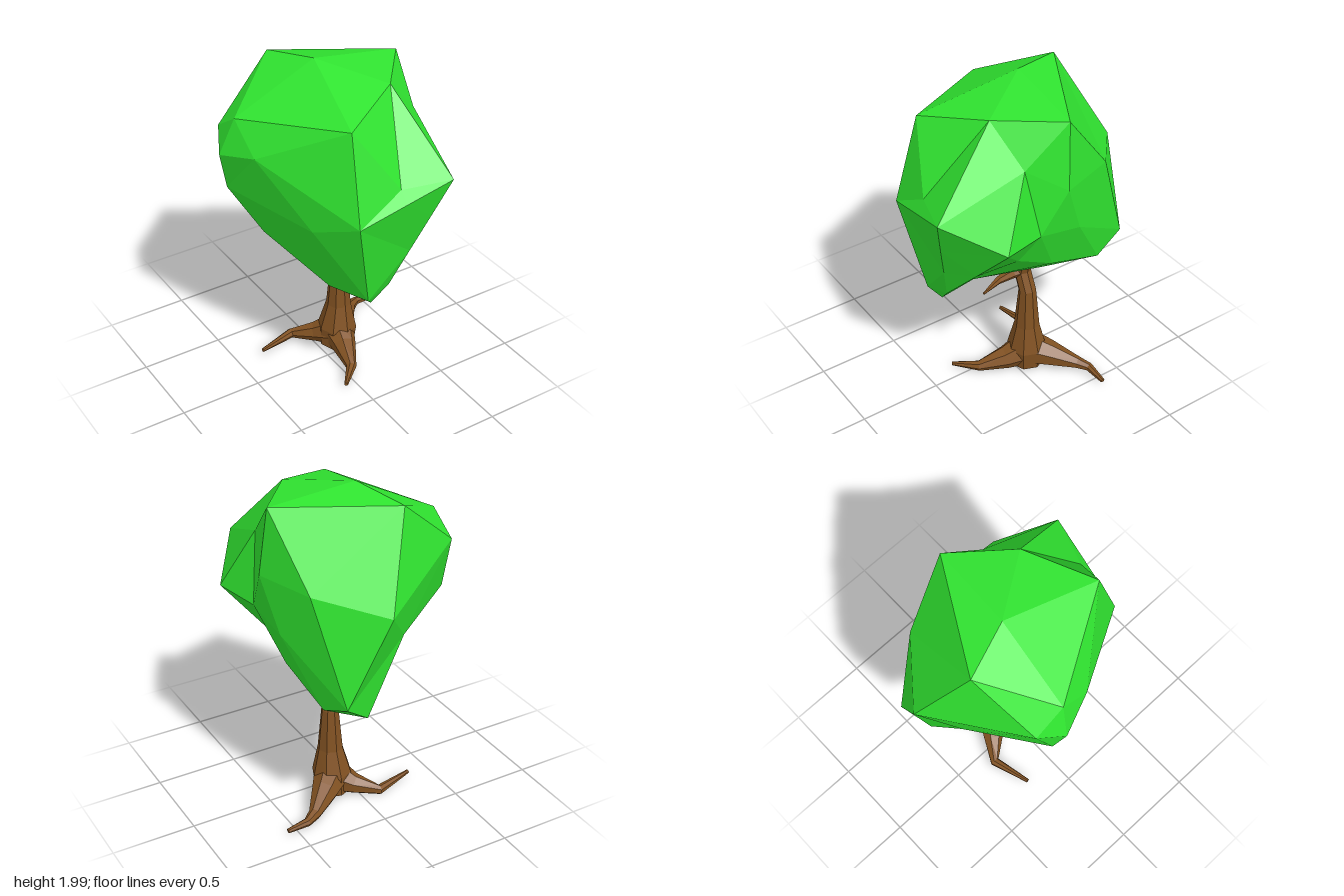
import * as THREE from 'three';
import { ConvexGeometry } from 'three/addons/geometries/ConvexGeometry.js';

const bark = new THREE.MeshStandardMaterial({ color: 0x825222, flatShading: true });
const leaf = new THREE.MeshStandardMaterial({ color: 0x30e430, flatShading: true });

// Faceted limb through sections [x, y, z, radius], each ring square to the path
function limb(name, sections, sides = 7) {
  const centres = sections.map(([x, y, z]) => new THREE.Vector3(x, y, z));
  const last = centres.length - 1;
  const positions = [], index = [];
  centres.forEach((c, i) => {
    const tangent = centres[Math.min(i + 1, last)].clone().sub(centres[Math.max(i - 1, 0)]).normalize();
    const guide = Math.abs(tangent.y) > 0.7 ? new THREE.Vector3(0, 0, 1) : new THREE.Vector3(0, 1, 0);
    const a = new THREE.Vector3().crossVectors(guide, tangent).normalize();
    const b = new THREE.Vector3().crossVectors(tangent, a);
    for (let k = 0; k < sides; k++) {
      const t = (k / sides) * Math.PI * 2;
      const p = c.clone().addScaledVector(a, Math.cos(t) * sections[i][3]).addScaledVector(b, Math.sin(t) * sections[i][3]);
      positions.push(p.x, Math.max(p.y, 0), p.z);
    }
  });
  for (let i = 0; i < last; i++) {
    for (let k = 0; k < sides; k++) {
      const p = i * sides + k, q = i * sides + (k + 1) % sides;
      index.push(p, q, p + sides, q, q + sides, p + sides);
    }
  }
  // End caps
  for (let k = 1; k < sides - 1; k++) {
    index.push(0, k + 1, k);
    index.push(last * sides, last * sides + k, last * sides + k + 1);
  }
  let geometry = new THREE.BufferGeometry();
  geometry.setAttribute('position', new THREE.Float32BufferAttribute(positions, 3));
  geometry.setIndex(index);
  geometry = geometry.toNonIndexed();
  geometry.computeVertexNormals();
  const mesh = new THREE.Mesh(geometry, bark);
  mesh.name = name;
  return mesh;
}

// Faceted crown: corners are joined by their direction from the centre, so hollows survive
function crown() {
  const corners = [
    // top
    [-0.02, 2.0, -0.11], [0.5, 1.94, -0.07], [0.235, 1.93, 0.255], [-0.15, 1.84, 0.465], [-0.13, 1.95, -0.43],
    // left and right sides
    [-0.51, 1.755, -0.14], [-0.51, 1.63, -0.33], [-0.59, 1.535, -0.18], [-0.5, 1.59, 0.05], [-0.53, 1.29, -0.22],
    [0.45, 1.7, 0.18], [0.545, 1.545, -0.045], [0.51, 1.285, 0.11], [0.587, 1.31, 0.377], [0.49, 1.22, -0.17],
    // front and back
    [-0.18, 1.32, 0.6], [0.09, 1.48, 0.585], [0.37, 1.5, 0.675], [-0.31, 1.21, 0.33], [-0.34, 1.455, 0.325],
    [0.08, 1.44, -0.675], [0.42, 1.53, -0.39], [0.32, 0.915, -0.61], [-0.1, 1.22, -0.5],
    // front ridges
    [0.095, 1.41, 0.637], [0.283, 1.263, 0.607], [0.197, 1.027, 0.538], [0.35, 1.05, 0.425],
    // underside
    [0.15, 0.78, -0.54], [0.36, 0.83, -0.415], [0.19, 0.73, -0.27], [-0.37, 1.0, -0.1], [-0.15, 0.745, 0.25],
    [-0.05, 0.75, 0.5], [0.01, 0.68, 0.44], [0.11, 0.79, 0.47], [0.13, 0.83, 0.3],
    [0.4, 1.08, 0.18], [0.4, 0.96, -0.055], [0.25, 0.82, -0.09], [0.03, 0.74, -0.1],
  ].map((p) => new THREE.Vector3(...p));
  const centre = new THREE.Vector3(0, 1.3, 0);
  const directions = corners.map((p) => p.clone().sub(centre).normalize());
  const geometry = new ConvexGeometry(directions);
  const position = geometry.attributes.position;
  const v = new THREE.Vector3();
  for (let i = 0; i < position.count; i++) {
    v.fromBufferAttribute(position, i);
    let best = 0;
    directions.forEach((d, k) => { if (d.dot(v) > directions[best].dot(v)) best = k; });
    position.setXYZ(i, corners[best].x, corners[best].y, corners[best].z);
  }
  geometry.computeVertexNormals();
  const mesh = new THREE.Mesh(geometry, leaf);
  mesh.name = 'crown';
  return mesh;
}

export function createModel() {
  const tree = new THREE.Group();
  tree.name = 'tree';
  tree.add(crown());

  // Trunk flares at the foot and leans over at the top
  tree.add(limb('trunk', [
    [0.12, 0.025, -0.09, 0.11], [0.125, 0.15, -0.085, 0.12], [0.13, 0.32, -0.08, 0.077],
    [0.13, 0.58, -0.08, 0.053], [0.085, 0.7, -0.075, 0.052], [0.1, 0.77, -0.075, 0.05],
  ], 8));

  // Three spreading roots, each with a bend
  tree.add(limb('leftRoot', [
    [0.13, 0.12, -0.09, 0.11], [0.23, 0.09, -0.185, 0.08], [0.36, 0.05, -0.3, 0.038],
    [0.43, 0.042, -0.34, 0.026], [0.56, 0.028, -0.342, 0.014],
  ]));
  tree.add(limb('rightRoot', [
    [0.11, 0.11, -0.09, 0.105], [0.02, 0.07, -0.18, 0.062], [-0.1, 0.042, -0.275, 0.03], [-0.34, 0.05, -0.21, 0.012],
  ]));
  tree.add(limb('frontRoot', [
    [0.12, 0.11, -0.07, 0.105], [0.09, 0.075, 0.05, 0.072], [0.035, 0.045, 0.21, 0.032], [-0.08, 0.04, 0.33, 0.012],
  ]));

  // Short side branch under the crown
  tree.add(limb('branch', [
    [0.085, 0.705, -0.08, 0.04], [0.08, 0.705, 0, 0.035], [0.1, 0.712, 0.11, 0.023], [0.16, 0.72, 0.25, 0.007],
  ], 6));
  return tree;
}
